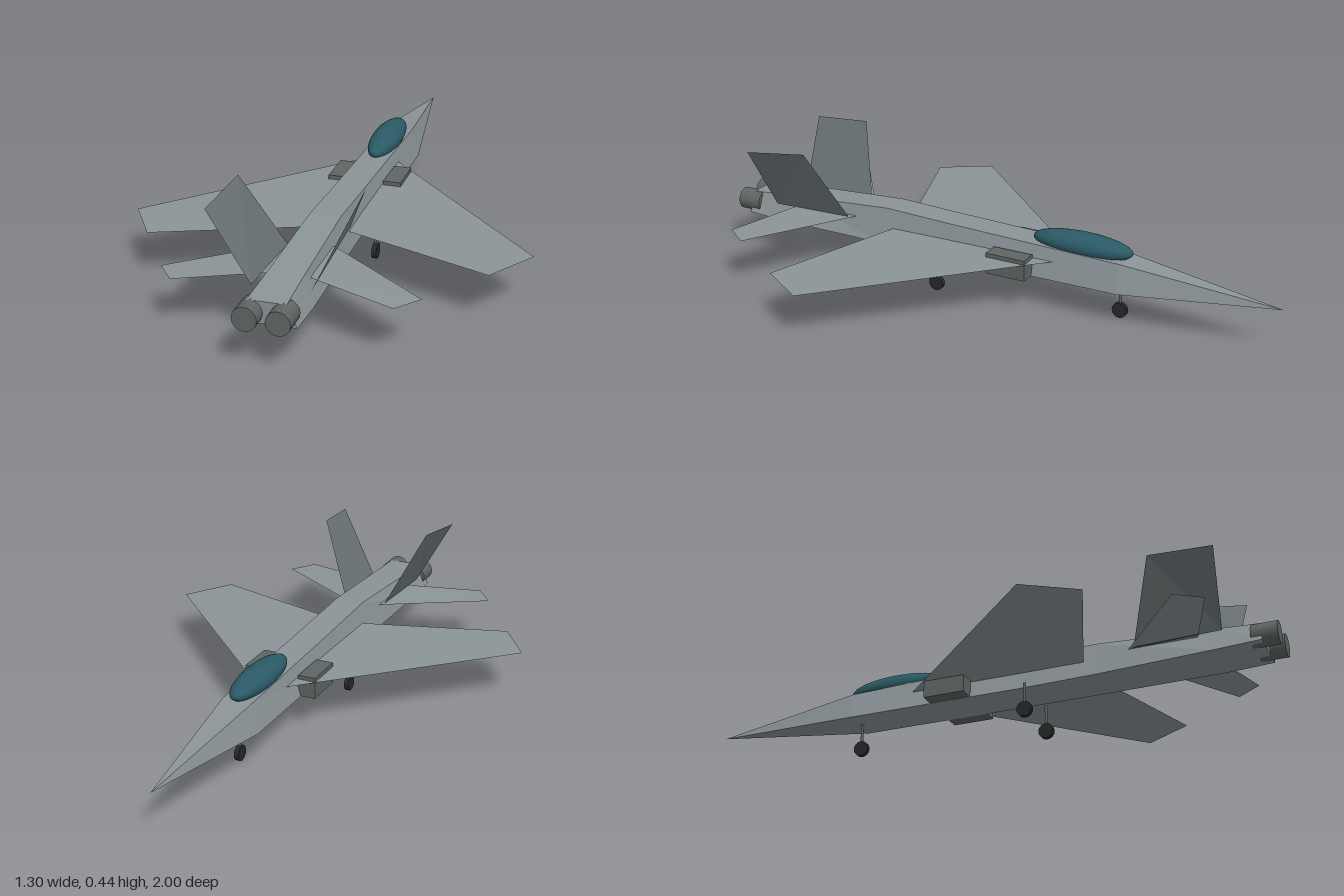
import * as THREE from 'three';

const mat = (name, color, side = THREE.FrontSide) => {
  const m = new THREE.MeshStandardMaterial({ color, side });
  m.name = name;
  return m;
};

export function createModel() {
  const model = new THREE.Group();
  model.name = 'jet';
  const bodyGrey = mat('body grey', 0x8b9497, THREE.DoubleSide);
  const finGrey = mat('fin grey', 0x6b7376, THREE.DoubleSide);
  const darkGrey = mat('dark grey', 0x5e6563);
  const glass = mat('canopy teal', 0x2a5a66);
  const rubber = mat('gear black', 0x262829);

  const add = (name, geometry, material, x = 0, y = 0, z = 0) => {
    const mesh = new THREE.Mesh(geometry, material);
    mesh.name = name;
    mesh.position.set(x, y, z);
    model.add(mesh);
    return mesh;
  };
  const fromPoints = (points) => {
    const g = new THREE.BufferGeometry();
    g.setAttribute('position', new THREE.Float32BufferAttribute(points.flat(), 3));
    g.computeVertexNormals();
    return g;
  };
  // flat four-cornered surface, mirrored by side s; corners run anticlockwise
  // seen from above on the -x side
  const panel = (s, [a, b, c, d]) => {
    const [A, B, C, D] = [a, b, c, d].map(([x, y, z]) => [x * s, y, z]);
    return fromPoints(s < 0 ? [A, B, C, A, C, D] : [A, C, B, A, D, C]);
  };

  // fuselage: trapezoid sections [z, half width top, half width bottom, top, bottom]
  const rings = [
    [-1, 0, 0, 0.15, 0.15],
    [-0.47, 0.05, 0.075, 0.21, 0.115],
    [0.15, 0.05, 0.075, 0.227, 0.113],
    [0.4, 0.05, 0.078, 0.236, 0.115],
    [0.8, 0.056, 0.09, 0.21, 0.123],
    [0.95, 0.06, 0.09, 0.2, 0.13],
  ].map(([z, t, b, top, bot]) => [[-b, bot, z], [b, bot, z], [t, top, z], [-t, top, z]]);
  const hull = [];
  for (let i = 0; i < rings.length - 1; i++) {
    for (let j = 0; j < 4; j++) {
      const k = (j + 1) % 4;
      const [a, b, c, d] = [rings[i][j], rings[i][k], rings[i + 1][k], rings[i + 1][j]];
      if (i > 0) hull.push(a, b, c);
      hull.push(a, c, d);
    }
  }
  const tail = rings[rings.length - 1];
  hull.push(tail[0], tail[1], tail[2], tail[0], tail[2], tail[3]);
  add('fuselage', fromPoints(hull), bodyGrey);

  // canopy
  add('canopy', new THREE.SphereGeometry(1, 32, 20), glass, 0, 0.23, -0.317).scale.set(0.051, 0.041, 0.177);

  // landing gear leg with wheel
  const gear = (name, x, z) => {
    add(name + 'Strut', new THREE.CylinderGeometry(0.005, 0.005, 0.092, 8), darkGrey, x, 0.072, z);
    const wheel = new THREE.CylinderGeometry(0.026, 0.026, 0.016, 16).rotateZ(Math.PI / 2);
    add(name + 'Wheel', wheel, rubber, x, 0.026, z);
  };
  gear('nose', 0, -0.455);

  for (const s of [1, -1]) {
    const side = s > 0 ? 'left' : 'right';
    add(side + 'Wing', panel(s, [
      [0.05, 0.175, -0.25], [0.65, 0.163, 0.37], [0.545, 0.163, 0.535], [0.05, 0.172, 0.363],
    ].reverse()), bodyGrey);
    add(side + 'Tailplane', panel(s, [
      [0.06, 0.188, 0.515], [0.4, 0.173, 0.76], [0.338, 0.175, 0.843], [0.06, 0.188, 0.745],
    ].reverse()), bodyGrey);
    add(side + 'Fin', panel(s, [
      [0.076, 0.185, 0.54], [0.196, 0.437, 0.632], [0.216, 0.415, 0.85], [0.09, 0.185, 0.83],
    ].reverse()), finGrey);
    add(side + 'Intake', new THREE.BoxGeometry(0.06, 0.072, 0.142), darkGrey, s * 0.096, 0.151, -0.096);
    const nozzle = new THREE.CylinderGeometry(0.038, 0.038, 0.085, 20).rotateX(Math.PI / 2);
    add(side + 'Nozzle', nozzle, darkGrey, s * 0.05, 0.163, 0.9575);
    gear(side, s * 0.098, 0.177);
  }
  return model;
}
